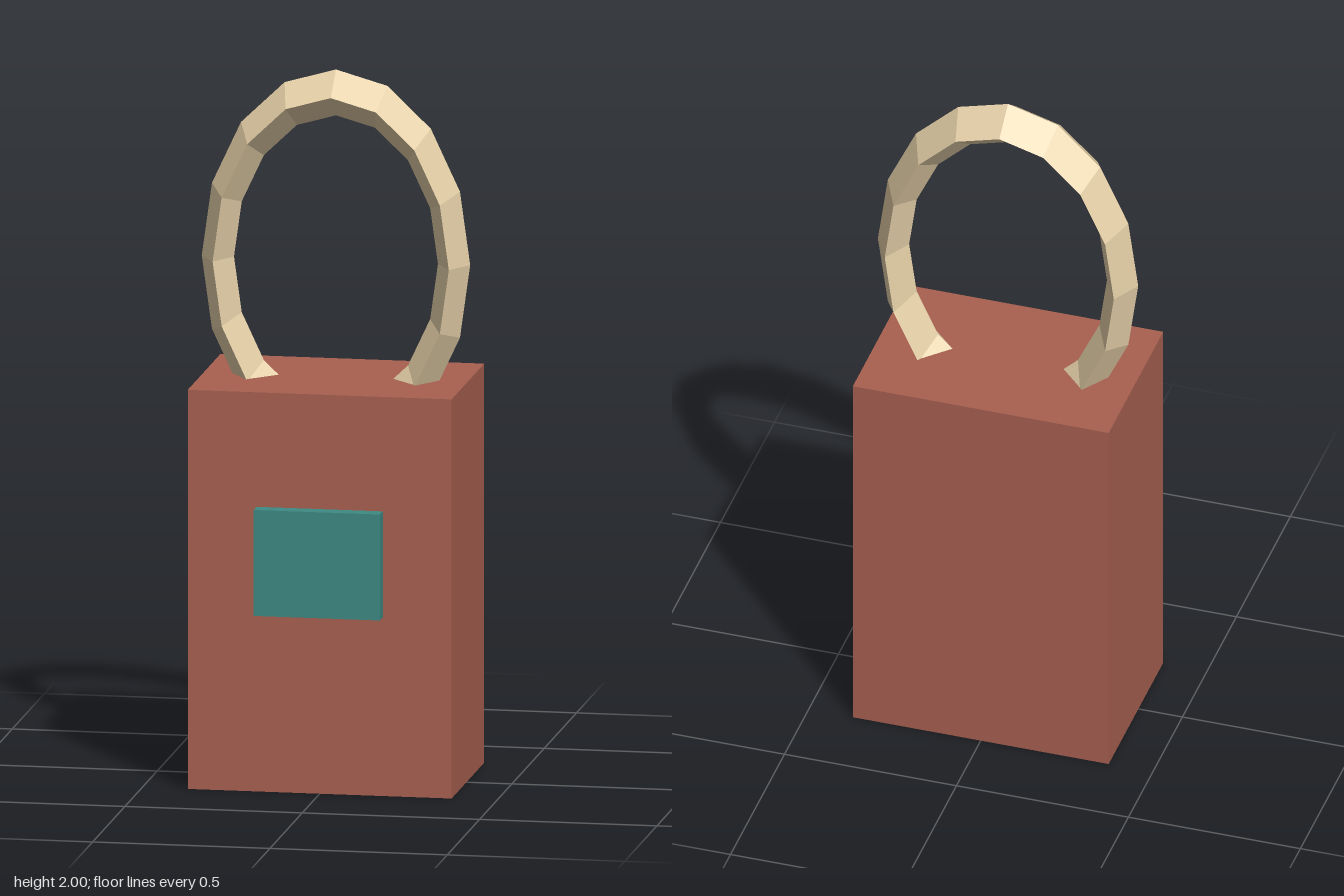
import * as THREE from 'three';

const material = (color) => new THREE.MeshStandardMaterial({ color, flatShading: true });

function addPart(group, name, geometry, color, position) {
  const mesh = new THREE.Mesh(geometry, material(color));
  mesh.name = name;
  mesh.position.set(...position);
  group.add(mesh);
  return mesh;
}

export function createModel() {
  const group = new THREE.Group();
  group.name = 'bag';

  // Block body
  addPart(group, 'body', new THREE.BoxGeometry(0.744, 1.13, 0.505), 0xa86050, [0, 0.565, -0.0225]);

  // Raised plate on the front, sunk slightly into the body
  addPart(group, 'frontPlate', new THREE.BoxGeometry(0.356, 0.3, 0.06), 0x3e8a84, [0, 0.656, 0.245]);

  // Oval loop with a diamond section, its lower end inside the body
  const loop = addPart(group, 'handle', new THREE.TorusGeometry(0.333, 0.0455, 4, 16), 0xe3cea6, [0, 1.46, -0.022]);
  loop.scale.set(1, 1.427, 1.79);

  return group;
}
